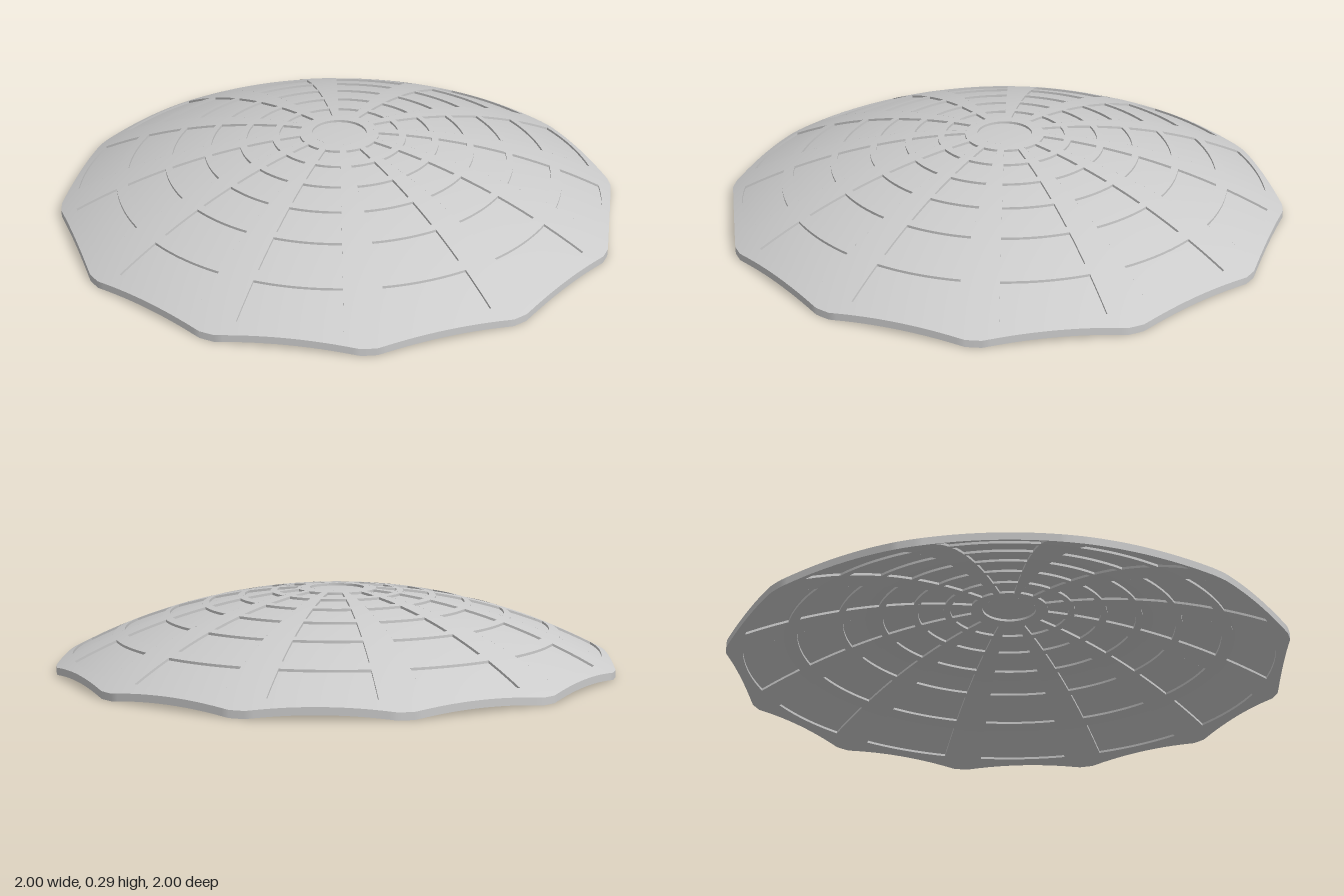
import * as THREE from 'three';
import { mergeGeometries } from 'three/addons/utils/BufferGeometryUtils.js';
import { ParametricGeometry } from 'three/addons/geometries/ParametricGeometry.js';

const GORES = 12;
const STEP = (Math.PI * 2) / GORES;
const HALF = THREE.MathUtils.degToRad(10.5); // half the angle of a window panel
const R = 2.15, TOP = 0.288;                 // sphere radius and crown height
const THICK = 0.026, RECESS = 0.009;         // shell thickness, panel inset per side
const HUB = 0.1;
const ROWS = [[0.145, 0.22], [0.245, 0.34], [0.365, 0.47], [0.495, 0.615], [0.64, 0.78], [0.82, 0.97]];
const LAST = 0.97;

const height = (r, depth) => TOP - R + Math.sqrt(R * R - r * r) - depth;

// Twelve-sided plan with slightly clipped corners
function edge(a) {
  const local = a - Math.round(a / STEP) * STEP;
  return Math.min(1 / Math.cos(local), 1.028);
}

const place = (p, r, a, depth) => p.set(r * Math.sin(a), height(r, depth), r * Math.cos(a));

// Patch of dome skin between two radii and two angles; r1 = null runs to the outer edge
function skin(r0, r1, a0, a1, depth, down, nr, na) {
  return new ParametricGeometry((u, v, p) => {
    const a = THREE.MathUtils.lerp(a0, a1, down ? 1 - v : v);
    place(p, THREE.MathUtils.lerp(r0, r1 ?? edge(a), u), a, depth);
  }, nr, na);
}

// Upright wall along a line given as t -> [radius, angle]
function wall(line, d0, d1, n) {
  return new ParametricGeometry((u, v, p) => {
    const [r, a] = line(u);
    place(p, r, a, THREE.MathUtils.lerp(d0, d1, v));
  }, n, 1);
}

// Same patch on the outside and the inside of the shell
function bothSides(r0, r1, a0, a1, inset, nr, na) {
  return [
    skin(r0, r1, a0, a1, inset, false, nr, na),
    skin(r0, r1, a0, a1, THICK - inset, true, nr, na),
  ];
}

// Step walls from the frame down to a recessed panel, on both faces
function reveals(line, n) {
  return [wall(line, 0, RECESS, n), wall(line, THICK - RECESS, THICK, n)];
}

export function createModel() {
  const group = new THREE.Group();
  group.name = 'dome';
  const material = new THREE.MeshStandardMaterial({ color: 0xcccccc, side: THREE.DoubleSide });
  const lerp = THREE.MathUtils.lerp;

  // Rib between neighbouring panels, with its piece of the outer rim
  const ribEnd = STEP - HALF;
  const ribGeo = mergeGeometries([
    ...bothSides(HUB, LAST, HALF, ribEnd, 0, 16, 6),
    ...bothSides(LAST, null, HALF, ribEnd, 0, 2, 6),
  ]);

  // Ring bands above, between and below the panels
  const bands = [];
  let inner = HUB;
  for (const [r0, r1] of ROWS) {
    bands.push(...bothSides(inner, r0, -HALF, HALF, 0, 1, 10));
    inner = r1;
  }
  bands.push(...bothSides(LAST, null, -HALF, HALF, 0, 2, 10));
  const bandGeo = mergeGeometries(bands);

  // Recessed window panels and the step walls around them
  const panels = [], steps = [];
  for (const [r0, r1] of ROWS) {
    panels.push(...bothSides(r0, r1, -HALF, HALF, RECESS, 3, 10));
    for (const r of [r0, r1]) steps.push(...reveals((t) => [r, lerp(-HALF, HALF, t)], 10));
    for (const a of [-HALF, HALF]) steps.push(...reveals((t) => [lerp(r0, r1, t), a], 3));
  }
  const panelGeo = mergeGeometries(panels);
  const stepGeo = mergeGeometries(steps);

  // Outer rim wall of one gore
  const rimGeo = mergeGeometries([
    wall((t) => { const a = lerp(HALF, -HALF, t); return [edge(a), a]; }, THICK, 0, 10),
    wall((t) => { const a = lerp(ribEnd, HALF, t); return [edge(a), a]; }, THICK, 0, 6),
  ]);

  const parts = { rib: ribGeo, ringBands: bandGeo, windowPanels: panelGeo, panelReveals: stepGeo, rimEdge: rimGeo };
  for (let i = 0; i < GORES; i++) {
    const gore = new THREE.Group();
    gore.name = `gore${i + 1}`;
    gore.rotation.y = i * STEP;
    for (const [name, geometry] of Object.entries(parts)) {
      const mesh = new THREE.Mesh(geometry, material);
      mesh.name = name;
      gore.add(mesh);
    }
    group.add(gore);
  }

  // Recessed round panel at the crown
  const crown = new THREE.Mesh(mergeGeometries([
    ...bothSides(0.0005, HUB, 0, Math.PI * 2, RECESS, 3, 48),
    ...reveals((t) => [HUB, t * Math.PI * 2], 48),
  ]), material);
  crown.name = 'crownPanel';
  group.add(crown);

  return group;
}
